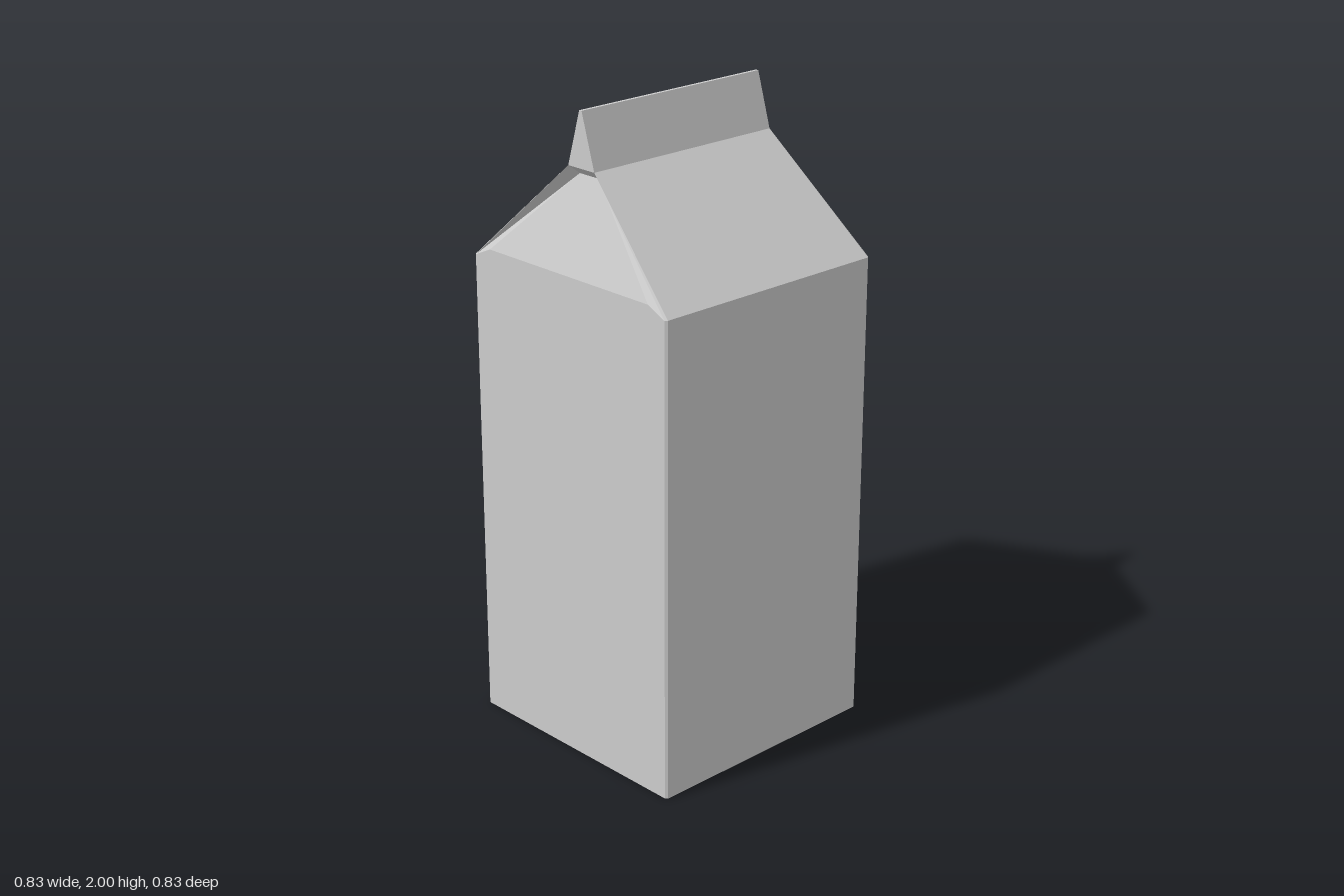
import * as THREE from 'three';

// Every polygon is given for the +x +z quarter and mirrored to the other three.
function mirroredPart(name, polygons, material) {
  const pos = [];
  for (const sx of [1, -1]) for (const sz of [1, -1]) {
    for (const poly of polygons) {
      for (let i = 1; i < poly.length - 1; i++) {
        const tri = [poly[0], poly[i], poly[i + 1]];
        if (sx * sz < 0) tri.reverse();
        for (const [x, y, z] of tri) pos.push(x * sx, y, z * sz);
      }
    }
  }
  const geometry = new THREE.BufferGeometry();
  geometry.setAttribute('position', new THREE.Float32BufferAttribute(pos, 3));
  geometry.computeVertexNormals();
  const mesh = new THREE.Mesh(geometry, material);
  mesh.name = name;
  return mesh;
}

export function createModel() {
  const group = new THREE.Group();
  group.name = 'carton';
  const card = new THREE.MeshStandardMaterial({ color: 0xcccccc });
  card.name = 'plain grey card';

  const W = 0.413;          // half width of the body
  const C = W - 0.007;      // start of the narrow corner bevel
  const eave = 1.5, ridge = 1.832, top = 2;
  const finZ = 0.35, finX = 0.055, tipX = 0.005;

  // Shared corners
  const sideCorner = [W, eave, C];
  const frontCorner = [C, eave, W];
  const ridgeEnd = [finX, ridge, finZ];
  const panelLow = [0.34, 1.53, W];
  const panelHigh = [0.04, 1.806, 0.32];

  // Upright walls, bevelled corners and base
  group.add(mirroredPart('body', [
    [[0, 0, W], [C, 0, W], frontCorner, panelLow, [0, 1.53, W]],
    [[W, 0, C], [W, 0, 0], [W, eave, 0], sideCorner],
    [[C, 0, W], [W, 0, C], sideCorner, frontCorner],
    [[0, 0, 0], [W, 0, 0], [W, 0, C], [C, 0, W], [0, 0, W]],
  ], card));

  // Sloping roof panels
  group.add(mirroredPart('roof', [
    [sideCorner, [W, eave, 0], [finX, ridge, 0], ridgeEnd],
  ], card));

  // Folded-in gable panels with the return under the roof edges
  group.add(mirroredPart('gableEnds', [
    [frontCorner, sideCorner, ridgeEnd],
    [frontCorner, ridgeEnd, panelHigh, panelLow],
    [[0, 1.53, W], panelLow, panelHigh, [0, 1.806, 0.32]],
    [[0, 1.806, 0.32], panelHigh, ridgeEnd, [0, ridge, finZ]],
  ], card));

  // Tapered sealing fin along the ridge
  group.add(mirroredPart('topFin', [
    [[0, ridge, finZ], ridgeEnd, [tipX, top, finZ], [0, top, finZ]],
    [ridgeEnd, [finX, ridge, 0], [tipX, top, 0], [tipX, top, finZ]],
    [[0, top, finZ], [tipX, top, finZ], [tipX, top, 0], [0, top, 0]],
  ], card));

  return group;
}
